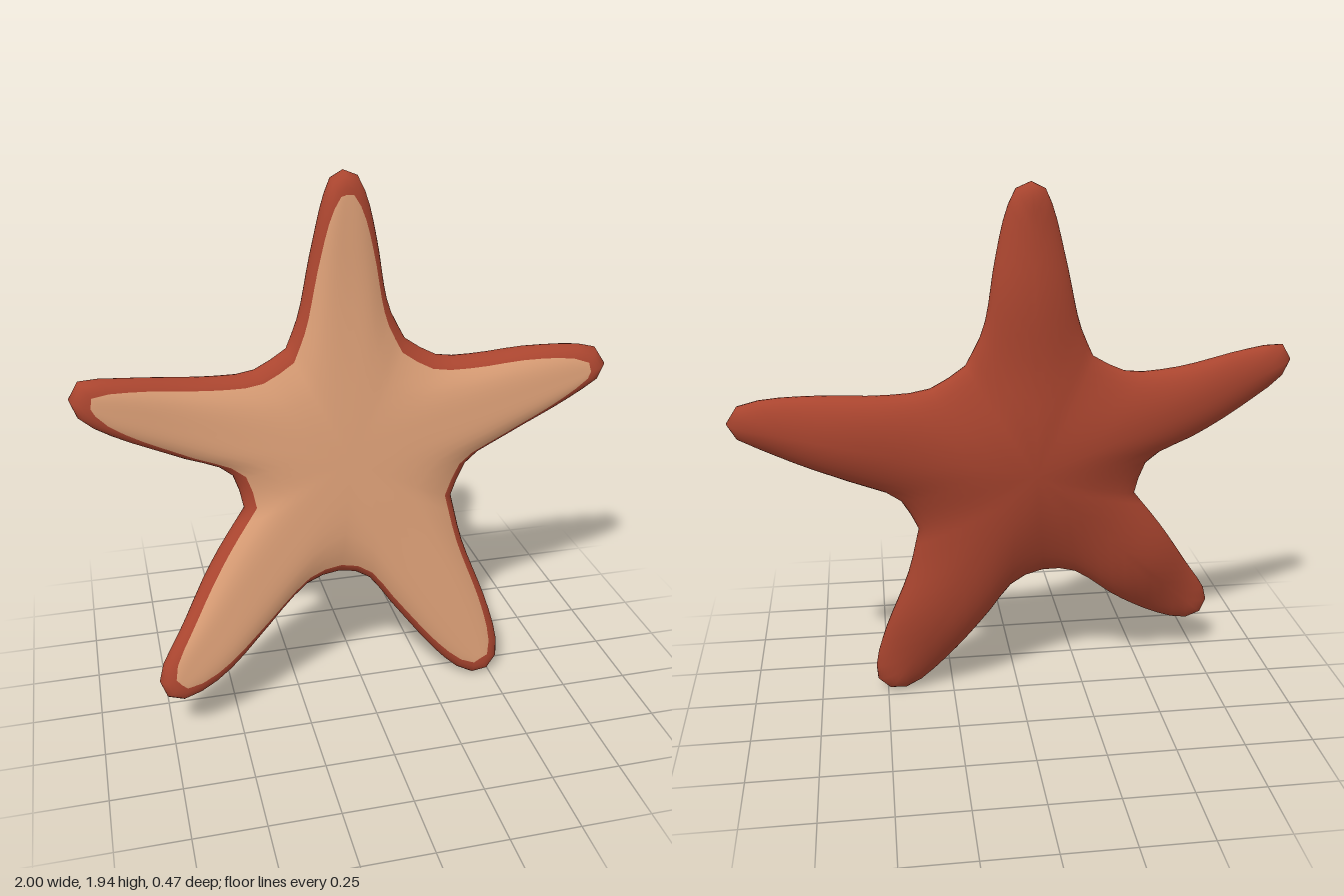
import * as THREE from 'three';
import { mergeVertices } from 'three/addons/utils/BufferGeometryUtils.js';

const CENTER = [-0.04, 0.95];
const COLUMNS = 12; // steps from valley to tip on each side of an arm

// Each arm: spine tip, and the two outline sides running from valley to tip.
const ARMS = [
  { tip: [-0.02, 1.955], // top
    a: [[0.2, 1.345], [0.14, 1.47], [0.1, 1.7], [0.06, 1.87], [0.025, 1.94]],
    b: [[-0.245, 1.355], [-0.195, 1.47], [-0.145, 1.68], [-0.095, 1.87], [-0.06, 1.94]] },
  { tip: [-1, 1.285], // upper -x
    a: [[-0.245, 1.355], [-0.37, 1.29], [-0.55, 1.29], [-0.78, 1.325], [-0.93, 1.342], [-0.975, 1.335]],
    b: [[-0.43, 0.8], [-0.47, 0.935], [-0.66, 1.03], [-0.85, 1.13], [-0.96, 1.205], [-0.99, 1.245]] },
  { tip: [-0.765, 0.19], // lower -x
    a: [[-0.43, 0.8], [-0.55, 0.64], [-0.68, 0.44], [-0.775, 0.29], [-0.785, 0.23]],
    b: [[-0.09, 0.505], [-0.2, 0.49], [-0.4, 0.33], [-0.53, 0.235], [-0.64, 0.18], [-0.72, 0.167]] },
  { tip: [0.495, 0.018], // lower +x
    a: [[-0.09, 0.505], [0.01, 0.475], [0.13, 0.32], [0.28, 0.13], [0.38, 0.035], [0.45, 0.007]],
    b: [[0.37, 0.73], [0.41, 0.55], [0.5, 0.3], [0.54, 0.14], [0.538, 0.065]] },
  { tip: [1, 1.18], // upper +x
    a: [[0.37, 0.73], [0.44, 0.86], [0.6, 0.94], [0.8, 1.03], [0.95, 1.11], [0.99, 1.14]],
    b: [[0.2, 1.345], [0.32, 1.27], [0.47, 1.255], [0.7, 1.265], [0.9, 1.255], [0.975, 1.23]] },
];

// Bend and thickness samples: x, y, middle z, half thickness
const BEND = [
  [-0.04, 0.95, -0.085, 0.11],
  [-0.03, 1.5, -0.145, 0.08], [-0.02, 1.93, -0.16, 0.055],
  [-0.55, 1.14, -0.05, 0.08], [-0.97, 1.28, 0.027, 0.045],
  [-0.4, 0.57, 0.03, 0.085], [-0.73, 0.22, 0.19, 0.045],
  [0.26, 0.45, -0.025, 0.095], [0.47, 0.05, 0.055, 0.055],
  [0.55, 1.08, -0.145, 0.09], [0.97, 1.18, -0.16, 0.05],
];
const plane = (x, y) => -0.09 * x - 0.15 * (y - 0.95);

// Smooth blend of the samples around a tilted plane
function bendAt(x, y) {
  let sum = 0, z = 0, half = 0;
  for (const [sx, sy, sz, sh] of BEND) {
    const w = Math.exp(-((x - sx) ** 2 + (y - sy) ** 2) / 0.07);
    sum += w;
    z += w * (sz - plane(sx, sy));
    half += w * sh;
  }
  return { z: plane(x, y) + z / sum, half: half / sum };
}

function sidePoints(side, tip) {
  const pts = [...side, tip].map(([x, y]) => new THREE.Vector3(x, y, 0));
  return new THREE.CatmullRomCurve3(pts, false, 'centripetal').getSpacedPoints(COLUMNS);
}

// Rows of points from the spine out to the rim, for the three bands
function column(inner, outer, t) {
  const point = (r, sign) => {
    const p = inner.clone().lerp(outer, r);
    const { z, half } = bendAt(p.x, p.y);
    p.z = z + sign * half * Math.sqrt(Math.max(0, 1 - r ** (sign > 0 ? 4 : 2.3)));
    return p;
  };
  const inset = 0.043 + 0.035 * t ** 8;
  const border = Math.max(0.2, 1 - inset / inner.distanceTo(outer));
  const face = [], rim = [], back = [];
  for (let i = 0; i <= 6; i++) face.push(point(border * i / 6, 1));
  for (let i = 0; i <= 5; i++) rim.push(point(border + (1 - border) * Math.sin(i / 5 * Math.PI / 2), 1));
  for (let i = 0; i <= 10; i++) back.push(point(Math.sin(i / 10 * Math.PI / 2), -1));
  return { face, rim, back };
}

function strip(out, p, q, flip) {
  const tri = (a, b, c) => {
    for (const v of flip ? [a, c, b] : [a, b, c]) out.push(v.x, v.y, v.z);
  };
  for (let i = 0; i < p.length - 1; i++) {
    if (p[i].distanceTo(q[i]) > 1e-6) tri(p[i], q[i + 1], q[i]);
    tri(p[i], p[i + 1], q[i + 1]);
  }
}

export function createModel() {
  const undersideColor = new THREE.MeshStandardMaterial({ color: 0xd99d75 });
  undersideColor.name = 'sandy underside';
  const skinColor = new THREE.MeshStandardMaterial({ color: 0xaa452f });
  skinColor.name = 'brick red skin';

  const sandy = [], red = [];
  const center = new THREE.Vector3(...CENTER, 0);
  for (const arm of ARMS) {
    const tip = new THREE.Vector3(...arm.tip, 0);
    const axis = tip.clone().sub(center).normalize();
    const sides = [sidePoints(arm.a, arm.tip), sidePoints(arm.b, arm.tip)];
    // Both sides share the same points on the spine
    const along = sides[0].map((p, j) => p.clone().add(sides[1][j]).multiplyScalar(0.5).sub(center).dot(axis));
    const spine = along.map((d) => center.clone().lerp(tip, 0.91 * (d - along[0]) / (along[COLUMNS] - along[0])));
    sides.forEach((side, k) => {
      const cols = side.map((p, j) => column(spine[j], p, j / COLUMNS));
      for (let j = 0; j < COLUMNS; j++) {
        strip(sandy, cols[j].face, cols[j + 1].face, k === 1);
        strip(red, cols[j].rim, cols[j + 1].rim, k === 1);
        strip(red, cols[j].back, cols[j + 1].back, k === 0);
      }
    });
  }

  // One smooth skin, coloured by two groups
  const raw = new THREE.BufferGeometry();
  raw.setAttribute('position', new THREE.Float32BufferAttribute([...sandy, ...red], 3));
  const geometry = mergeVertices(raw, 1e-4);
  geometry.clearGroups();
  geometry.addGroup(0, sandy.length / 3, 0);
  geometry.addGroup(sandy.length / 3, red.length / 3, 1);
  geometry.computeVertexNormals();

  const body = new THREE.Mesh(geometry, [undersideColor, skinColor]);
  body.name = 'starfishBody';
  const group = new THREE.Group();
  group.name = 'starfish';
  group.add(body);
  return group;
}
